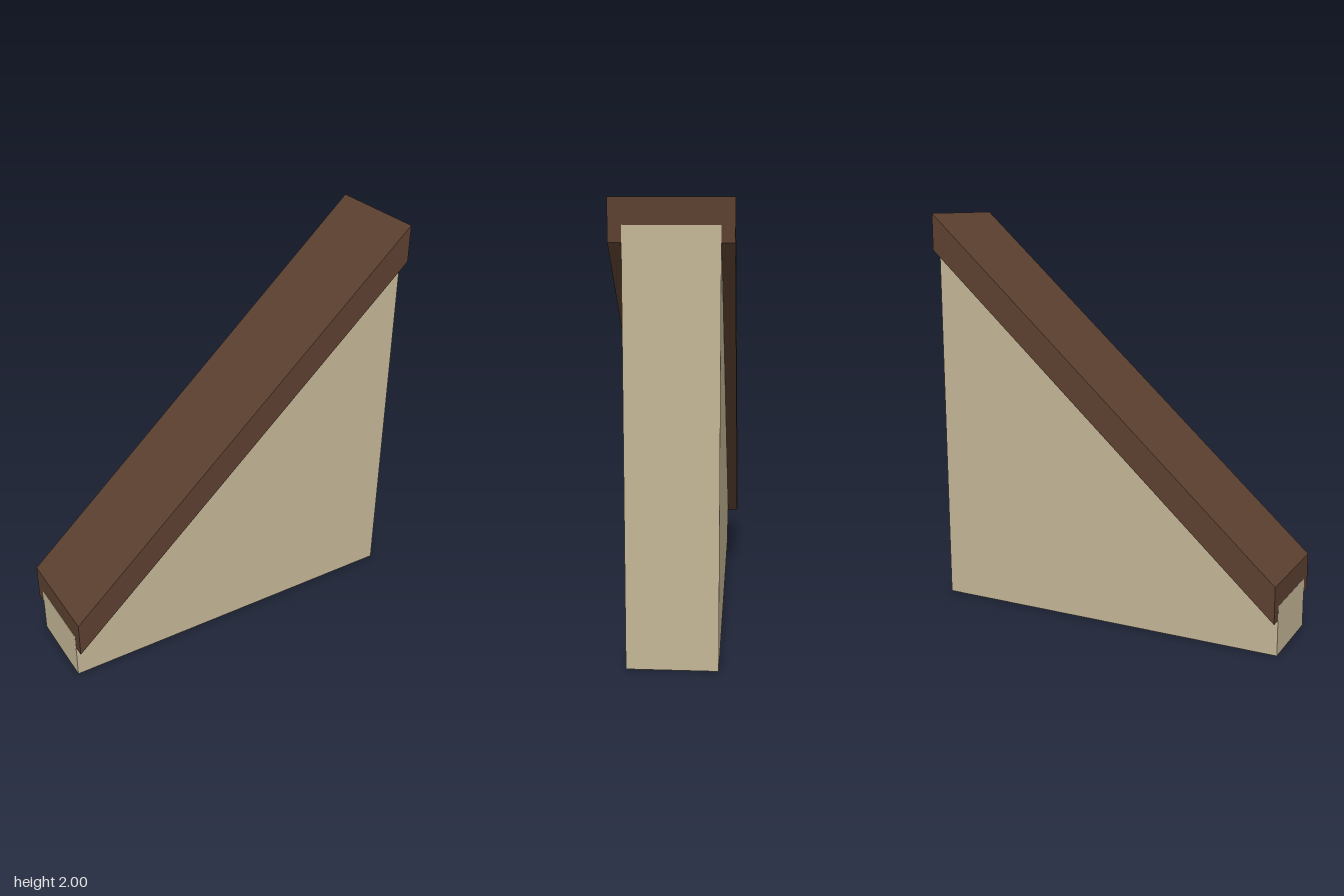
import * as THREE from 'three';

const HALF = 0.913; // half length along x

// Extrudes a front outline, centred on z = 0.
function slab(name, outline, depth, color) {
  const shape = new THREE.Shape(outline.map(([x, y]) => new THREE.Vector2(x, y)));
  const geometry = new THREE.ExtrudeGeometry(shape, { depth, bevelEnabled: false });
  geometry.translate(0, 0, -depth / 2);
  const mesh = new THREE.Mesh(geometry, new THREE.MeshStandardMaterial({ color, flatShading: true }));
  mesh.name = name;
  return mesh;
}

export function createModel() {
  const group = new THREE.Group();
  group.name = 'slopedBalustrade';

  // Wall with a sloping top that reaches up into the rail
  const end = HALF + 0.0005; // keeps the wall ends just proud of the rail ends
  group.add(slab('wall', [[-end, 0], [end, 0], [end, 1.89], [-end, 0.245]], 0.4, 0xc4b696));

  // Wider handrail with vertical ends
  group.add(slab('handrail', [[-HALF, 0.175], [HALF, 1.82], [HALF, 2], [-HALF, 0.355]], 0.512, 0x5c4030));

  return group;
}
